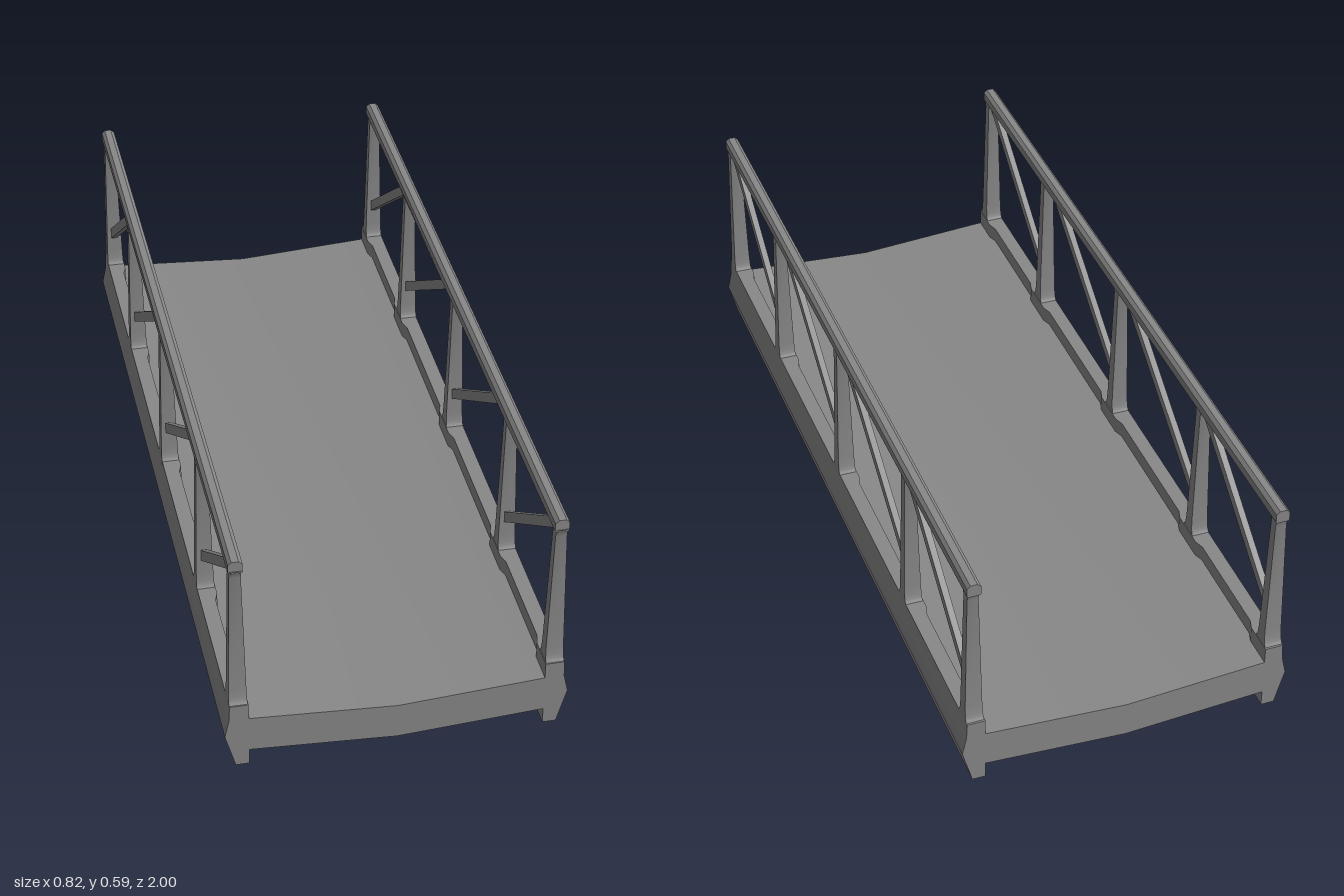
import * as THREE from 'three';
import { toCreasedNormals } from 'three/addons/utils/BufferGeometryUtils.js';

const material = new THREE.MeshStandardMaterial({ color: 0x888888 });
const shapeOf = (pts) => new THREE.Shape(pts.map(([x, y]) => new THREE.Vector2(x, y)));

// Extrude a front-view outline along z, centred on the origin
function alongZ(pts, length) {
  const geo = new THREE.ExtrudeGeometry(shapeOf(pts), { depth: length, bevelEnabled: false });
  geo.translate(0, 0, -length / 2);
  return toCreasedNormals(geo, 0.6);
}

// Upright: flared side elevation, tapering in thickness towards the rail
function postGeometry() {
  const half = [[0.027, 0.17], [0.027, 0.18], [0.022, 0.186], [0.019, 0.197], [0.0165, 0.22],
    [0.012, 0.545], [0.015, 0.557], [0.02, 0.567]];
  const outline = [...half, ...half.map(([x, y]) => [-x, y]).reverse()];
  const geo = new THREE.ExtrudeGeometry(shapeOf(outline), { depth: 1, bevelEnabled: false });
  geo.translate(0, 0, -0.5);
  geo.rotateY(Math.PI / 2);
  const p = geo.attributes.position;
  for (let i = 0; i < p.count; i++) {
    const t = (p.getY(i) - 0.18) / 0.375;
    p.setX(i, p.getX(i) * THREE.MathUtils.lerp(0.044, 0.027, t));
  }
  geo.computeVertexNormals();
  return toCreasedNormals(geo, 0.5);
}

export function createModel() {
  const model = new THREE.Group();
  model.name = 'bridge';
  const add = (parent, name, geo) => {
    const mesh = new THREE.Mesh(geo, material);
    mesh.name = name;
    parent.add(mesh);
    return mesh;
  };

  // Shallow V-shaped deck slab
  add(model, 'deck', alongZ([[-0.37, 0.043], [0, 0.02], [0.37, 0.043],
    [0.37, 0.139], [0, 0.115], [-0.37, 0.139]], 2));

  const post = postGeometry();
  const postZ = [0.97, 0.533, 0, -0.53, -0.968];
  // Braces as [top z, bottom z]
  const braces = [[0.955, 0.54], [0.455, 0], [-0.07, -0.53], [-0.555, -0.967]];

  for (const s of [1, -1]) {
    const side = new THREE.Group();
    side.name = s > 0 ? 'leftSide' : 'rightSide';
    model.add(side);

    // Edge girder with a bulging outer face and a thinner curb on top
    const girder = [[0.355, 0], [0.388, 0], [0.396, 0.03], [0.4125, 0.09], [0.402, 0.138],
      [0.4, 0.18], [0.363, 0.18], [0.363, 0.125], [0.355, 0.125]];
    add(side, 'girder', alongZ(girder.map(([x, y]) => [x * s, y]), 2));

    // Handrail with chamfered corners
    const rail = [[0.363, 0.561], [0.393, 0.561], [0.395, 0.564], [0.395, 0.586],
      [0.387, 0.594], [0.37, 0.594], [0.361, 0.586], [0.361, 0.564]];
    add(side, 'handrail', alongZ(rail.map(([x, y]) => [x * s, y]), 1.976));

    for (const z of postZ) {
      add(side, 'post', post).position.set(0.3785 * s, 0, z);

      // Thickened curb at the foot of each post
      const pad = [[-0.075, 0.37], [-0.075, 0.363], [-0.05, 0.355],
        [0.05, 0.355], [0.075, 0.363], [0.075, 0.37]]
        .map(([dz, x]) => [x * s, -THREE.MathUtils.clamp(z + dz, -1, 1)]);
      const padGeo = new THREE.ExtrudeGeometry(shapeOf(pad), { depth: 0.055, bevelEnabled: false });
      padGeo.rotateX(-Math.PI / 2);
      add(side, 'postFoot', padGeo).position.y = 0.125;
    }

    // Diagonal braces
    for (const [z1, z2] of braces) {
      const dy = 0.268 - 0.565;
      const dz = z2 - z1;
      const brace = add(side, 'brace', new THREE.BoxGeometry(0.016, 0.026, Math.hypot(dy, dz)));
      brace.position.set(0.3785 * s, 0.4165, (z1 + z2) / 2);
      brace.rotation.x = Math.atan2(-dy, dz);
    }
  }
  return model;
}
